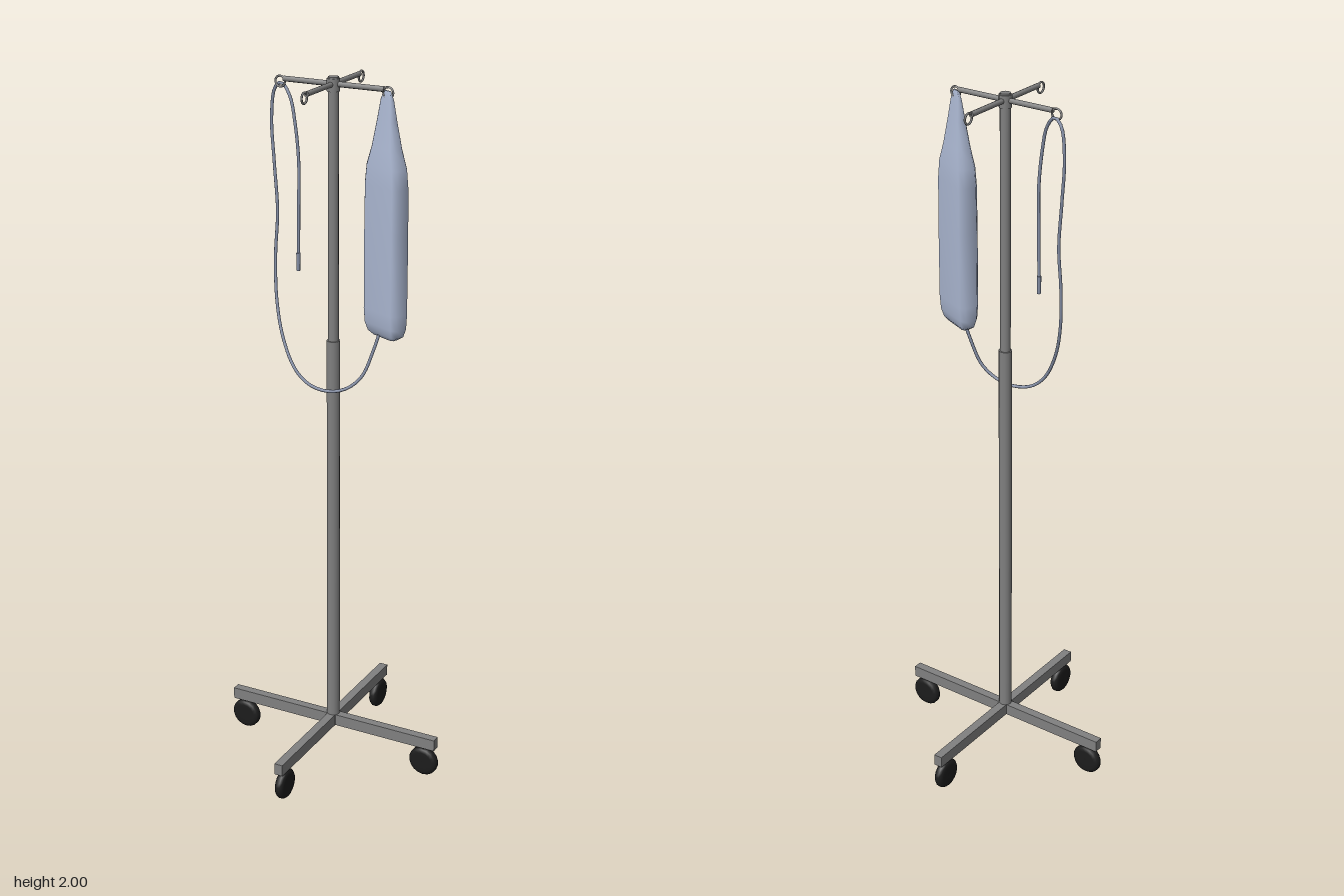
import * as THREE from 'three';

const Z0 = 0.005; // the pole axis sits slightly forward of centre

const mat = (name, color) => {
  const m = new THREE.MeshStandardMaterial({ color });
  m.name = name;
  return m;
};

// Chamfered cross-sections joined from top to bottom: [y, half width, half depth]
function loftBag(sections) {
  const pos = [], index = [], n = 8, c = 0.62;
  const outline = [[1, -c], [1, c], [c, 1], [-c, 1], [-1, c], [-1, -c], [-c, -1], [c, -1]];
  for (const [y, w, d] of sections) for (const [x, z] of outline) {
    // keep the broad faces wide while the corners stay bevelled
    const sx = Math.abs(x) === 1 ? x : x * 1.3;
    pos.push(sx * w, y, z * d);
  }
  for (let s = 0; s < sections.length - 1; s++) for (let i = 0; i < n; i++) {
    const a = s * n + i, b = s * n + (i + 1) % n;
    index.push(a, b, a + n, b, b + n, a + n);
  }
  // end caps
  const last = sections.length - 1;
  for (const [s, flip] of [[0, false], [last, true]]) {
    const centre = pos.length / 3;
    pos.push(0, sections[s][0], 0);
    for (let i = 0; i < n; i++) {
      const a = s * n + i, b = s * n + (i + 1) % n;
      index.push(centre, flip ? a : b, flip ? b : a);
    }
  }
  const g = new THREE.BufferGeometry();
  g.setAttribute('position', new THREE.Float32BufferAttribute(pos, 3));
  g.setIndex(index);
  g.computeVertexNormals();
  return g;
}

export function createModel() {
  const root = new THREE.Group();
  root.name = 'dripStand';
  const metal = mat('greyMetal', 0x808080);
  const rubber = mat('blackRubber', 0x1c1c1c);
  const bagMat = mat('paleBlueBag', 0xaab6d0);
  const tubeMat = mat('blueGreyTube', 0x858fa6);

  const add = (name, geo, m, parent, x = 0, y = 0, z = 0) => {
    const mesh = new THREE.Mesh(geo, m);
    mesh.name = name;
    mesh.position.set(x, y, z);
    parent.add(mesh);
    return mesh;
  };

  const stand = new THREE.Group();
  stand.name = 'stand';
  stand.position.z = Z0;
  root.add(stand);

  // Telescopic pole
  const rod = (r, y0, y1) => new THREE.CylinderGeometry(r, r, y1 - y0, 12).translate(0, (y0 + y1) / 2, 0);
  add('lowerPole', rod(0.0185, 0.09, 1.28), metal, stand);
  add('upperPole', rod(0.0145, 1.27, 2.0), metal, stand);
  add('poleCap', rod(0.0175, 1.962, 1.996), metal, stand);

  // Wheel profile with rounded shoulders
  const wheelProfile = [[0, -0.013], [0.03, -0.014], [0.039, -0.011], [0.044, -0.005],
    [0.044, 0.005], [0.039, 0.011], [0.03, 0.014], [0, 0.013]].map(p => new THREE.Vector2(...p));
  const wheelGeo = new THREE.LatheGeometry(wheelProfile, 18).rotateX(Math.PI / 2);

  // Crossed base legs, and one caster and hook arm for each direction
  const legGeo = new THREE.BoxGeometry(0.664, 0.034, 0.025);
  for (let i = 0; i < 2; i++) {
    add('baseLeg', legGeo, metal, stand, 0, 0.107, 0).rotation.y = i * Math.PI / 2;
  }
  for (let i = 0; i < 4; i++) {
    const side = new THREE.Group();
    side.name = 'armAndCaster';
    side.rotation.y = i * Math.PI / 2;
    stand.add(side);
    add('casterWheel', wheelGeo, rubber, side, 0.295, 0.044, 0);
    add('casterStem', new THREE.CylinderGeometry(0.008, 0.008, 0.04, 8), rubber, side, 0.295, 0.078, 0);
    add('hookArm', new THREE.CylinderGeometry(0.0075, 0.0075, 0.147, 8).rotateZ(Math.PI / 2),
      metal, side, 0.0735, 1.981, 0);
    add('hookRing', new THREE.TorusGeometry(0.0145, 0.003, 6, 16), metal, side, 0.158, 1.973, 0);
  }

  // Fluid bag, turned a little about its hook
  const bag = add('fluidBag', loftBag([
    [1.978, 0.012, 0.003], [1.955, 0.022, 0.006], [1.90, 0.032, 0.012], [1.83, 0.046, 0.020],
    [1.78, 0.062, 0.026], [1.73, 0.067, 0.028], [1.60, 0.068, 0.029], [1.39, 0.068, 0.029],
    [1.35, 0.067, 0.026], [1.327, 0.060, 0.020], [1.315, 0.042, 0.011],
  ]), bagMat, root, 0.156, 0, Z0);
  bag.rotation.y = -0.41;

  // Tube looping from the bag up over the opposite hook
  const path = new THREE.CatmullRomCurve3([
    [0.145, 1.335, 0.01], [0.128, 1.275, 0.018], [0.10, 1.20, 0.032], [0.06, 1.163, 0.045],
    [0.01, 1.15, 0.055], [-0.045, 1.162, 0.061], [-0.09, 1.20, 0.06], [-0.135, 1.28, 0.045],
    [-0.165, 1.38, 0.024], [-0.176, 1.50, 0.008], [-0.173, 1.62, 0], [-0.186, 1.75, -0.008],
    [-0.196, 1.87, -0.014], [-0.184, 1.95, -0.012], [-0.16, 1.968, -0.006], [-0.13, 1.935, 0.003],
    [-0.112, 1.87, 0.01], [-0.10, 1.77, 0.013], [-0.099, 1.65, 0.016], [-0.099, 1.54, 0.018],
    [-0.10, 1.47, 0.018],
  ].map(p => new THREE.Vector3(...p)));
  add('dripTube', new THREE.TubeGeometry(path, 100, 0.0045, 8), tubeMat, root);
  add('tubeTip', new THREE.CylinderGeometry(0.006, 0.005, 0.05, 8), tubeMat, root, -0.1, 1.492, 0.018);
  return root;
}
